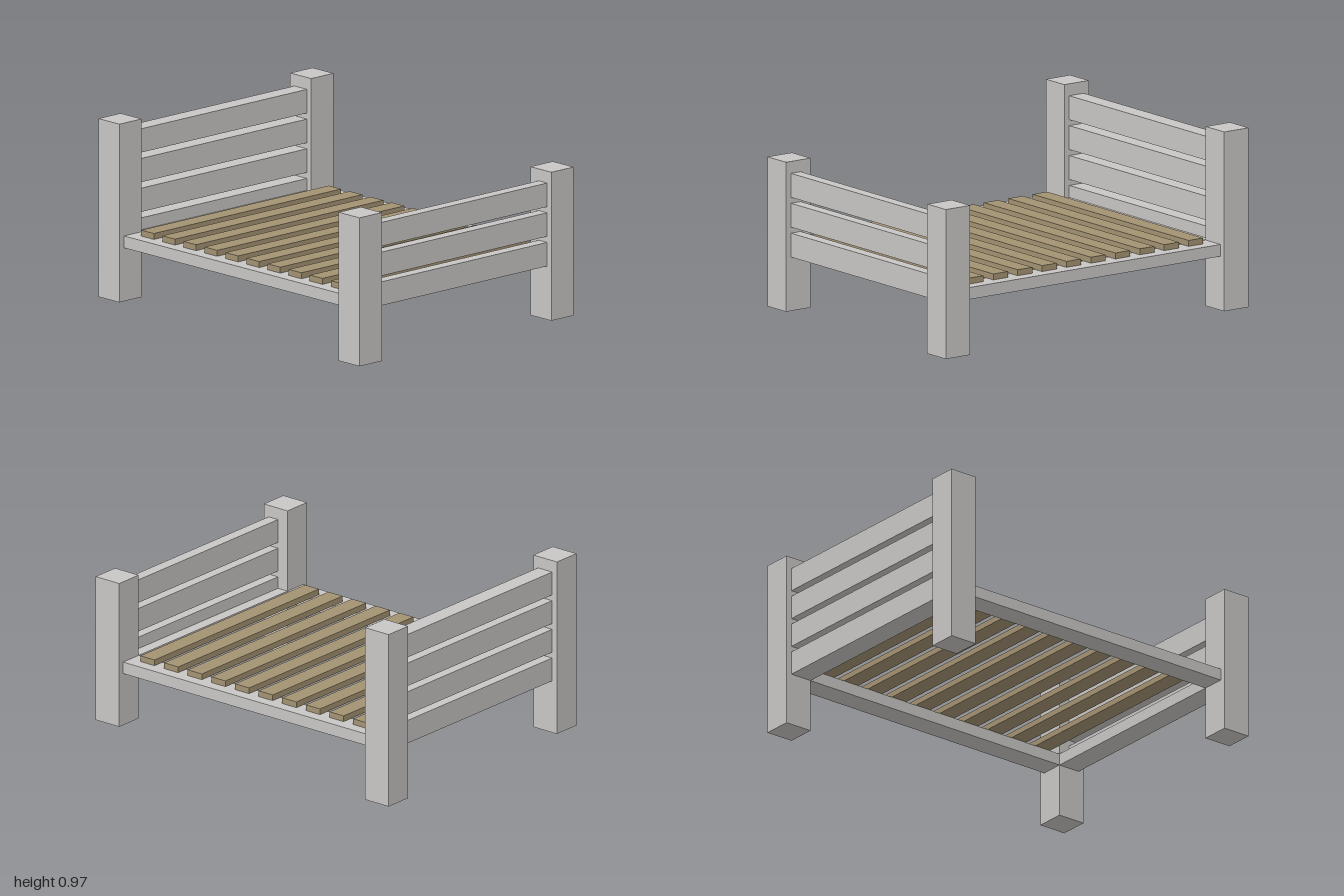
import * as THREE from 'three';

// Every size is a whole number of units; the bed is 62 units long.
const U = 2 / 62;

export function createModel() {
  const bed = new THREE.Group();
  bed.name = 'bed';
  const frameGrey = new THREE.MeshStandardMaterial({ color: 0xc8c6c4 });
  frameGrey.name = 'frameGrey';
  const slatWood = new THREE.MeshStandardMaterial({ color: 0xa39272 });
  slatWood.name = 'slatWood';

  // Box given by its lower and upper limits, in units
  function box(name, material, [x0, x1], [y0, y1], [z0, z1]) {
    const mesh = new THREE.Mesh(
      new THREE.BoxGeometry((x1 - x0) * U, (y1 - y0) * U, (z1 - z0) * U), material);
    mesh.position.set((x0 + x1) / 2 * U, (y0 + y1) / 2 * U, (z0 + z1) / 2 * U);
    mesh.name = name;
    bed.add(mesh);
  }

  // Headboard at -x, footboard at +x
  const ends = [
    { name: 'headboard', side: -1, height: 30, boards: 4, inner: 27 },
    { name: 'footboard', side: 1, height: 25, boards: 3, inner: 28 },
  ];
  for (const { name, side, height, boards, inner } of ends) {
    const span = (a, b) => (side > 0 ? [a, b] : [-b, -a]);
    // Corner posts
    box(name + 'FrontPost', frameGrey, span(26, 31), [0, height], [19, 24]);
    box(name + 'BackPost', frameGrey, span(26, 31), [0, height], [-24, -19]);
    // Horizontal boards between the posts
    for (let i = 0; i < boards; i++) {
      const y = 9 + i * 5;
      box(name + 'Board' + (i + 1), frameGrey, span(inner, 30), [y, y + 4], [-19, 19]);
    }
    // Ledge inside the lowest board
    box(name + 'Rail', frameGrey, span(26, inner), [9, 11], [-19, 19]);
  }

  // Long side rails
  box('frontRail', frameGrey, [-26, 26], [9, 11], [19, 23]);
  box('backRail', frameGrey, [-26, 26], [9, 11], [-23, -19]);

  // Slats across the rails
  for (let i = 0; i < 10; i++) {
    const x = -24 + i * 5;
    box('slat' + (i + 1), slatWood, [x, x + 3], [11, 12], [-21, 21]);
  }
  return bed;
}
